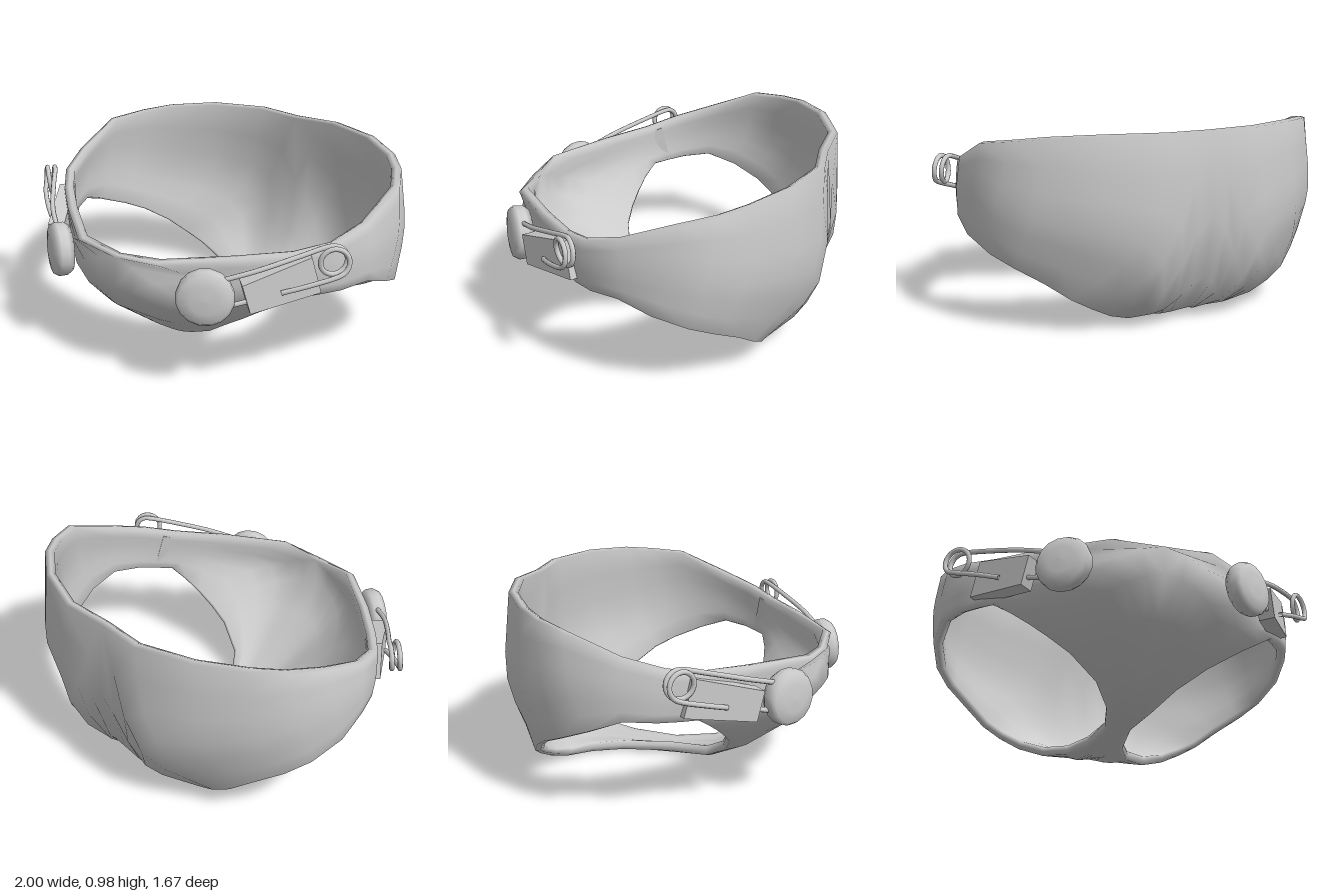
import * as THREE from 'three';
import { mergeVertices } from 'three/addons/utils/BufferGeometryUtils.js';

const material = new THREE.MeshStandardMaterial({ color: 0xcccccc, roughness: 0.8, side: THREE.DoubleSide });
const V = (x, y, z) => new THREE.Vector3(x, y, z);

// Each half of the garment is a ring around its leg hole, made of three loops.
// Outer loop: waist from front centre round to back centre, then the centre seam back to the front.
const OUTER = [
  [0, .66, .83], [.26, .675, .805], [.55, .7, .575], [.75, .715, .39], [.88, .75, .24], [.945, .81, .04], [.955, .915, -.24],
  [.865, .94, -.42], [.755, .96, -.55], [.54, .975, -.705], [.25, .975, -.805], [0, .97, -.79], [0, .57, -.825], [0, .25, -.755],
  [0, .055, -.61], [0, 0, -.42], [0, 0, 0], [0, .02, .24], [0, .125, .455], [0, .32, .7], [0, .5, .84],
];
// Middle loop: the bulge of the cloth
const MIDDLE = [
  [.32, .52, .765], [.5, .56, .615], [.67, .59, .455], [.79, .6, .35], [.9, .62, .22], [.97, .66, .03], [.985, .68, -.2],
  [.93, .64, -.37], [.82, .58, -.525], [.59, .53, -.71], [.37, .47, -.795], [.28, .36, -.815], [.23, .2, -.75], [.17, .075, -.645],
  [.1, .01, -.51], [.05, 0, -.36], [.035, 0, 0], [.06, .02, .235], [.12, .125, .44], [.2, .29, .645], [.26, .42, .745],
];
// Inner loop: the edge of the leg hole
const INNER = [
  [.56, .36, .405], [.66, .42, .39], [.75, .48, .36], [.82, .49, .3], [.9, .5, .2], [.96, .51, .05], [.98, .45, -.12],
  [.935, .38, -.29], [.86, .325, -.4], [.74, .25, -.49], [.63, .17, -.55], [.53, .115, -.57], [.42, .06, -.56], [.29, .015, -.51],
  [.17, .005, -.42], [.1, .01, -.26], [.07, .02, 0], [.12, .04, .22], [.21, .12, .35], [.36, .23, .41], [.47, .3, .415],
];
const N = OUTER.length, ROWS = 6, WAIST = 11, THICK = 0.05;

// Quads between neighbouring sections
function addQuad(index, a, b, c, d, flip) {
  if (flip) index.push(a, c, b, a, d, c);
  else index.push(a, b, c, a, c, d);
}

// Line from the outer loop to the leg hole; on the centre seam it leaves square to the mirror plane
function sheetRow(j) {
  const [o, m, n] = [OUTER, MIDDLE, INNER].map(loop => V(...loop[j]));
  if (j > 0 && j <= WAIST) return new THREE.CatmullRomCurve3([o, m, n]).getPoints(ROWS);
  const curve = new THREE.CatmullRomCurve3([V(-m.x, m.y, m.z), o, m, n]);
  const row = Array.from({ length: ROWS + 1 }, (_, i) => curve.getPoint((1 + 2 * i / ROWS) / 3));
  row[0].copy(o);
  return row;
}

function garmentGeometry() {
  // Outside of one half
  const sheet = OUTER.map((_, j) => sheetRow(j));
  const outside = new THREE.BufferGeometry().setFromPoints(sheet.flat());
  const faces = [], W = ROWS + 1;
  for (let j = 0; j < N; j++) {
    const k = (j + 1) % N;
    for (let i = 0; i < ROWS; i++) addQuad(faces, j * W + i, j * W + i + 1, k * W + i + 1, k * W + i, false);
  }
  outside.setIndex(faces);
  outside.computeVertexNormals();
  const normals = outside.attributes.normal;

  // Closed section at every station: outside, leg hem, lining, waist hem
  const hem = (edge, lining, before) =>
    edge.clone().add(lining).multiplyScalar(.5).addScaledVector(edge.clone().sub(before).normalize(), .01);
  const sections = sheet.map((row, j) => {
    const lining = row.map((p, i) => {
      const n = V().fromBufferAttribute(normals, j * W + i);
      if (i === 0 && p.x === 0) n.setX(0).normalize();
      return p.clone().addScaledVector(n, -THICK);
    });
    const waistHem = hem(row[0], lining[0], row[1]);
    if (row[0].x === 0) waistHem.x = 0;
    return [...row, hem(row[ROWS], lining[ROWS], row[ROWS - 1]), ...lining.reverse(), waistHem];
  });

  // Both halves, welded along the centre seam
  const K = sections[0].length, points = [], index = [];
  for (const side of [1, -1]) {
    const base = points.length;
    for (const s of sections) for (const p of s) points.push(V(p.x * side, p.y, p.z));
    for (let j = 0; j < N; j++) {
      const k = (j + 1) % N;
      for (let i = 0; i < K; i++) {
        if (i >= K - 2 && j >= WAIST) continue; // no hem on the centre seam
        const n = (i + 1) % K;
        addQuad(index, base + j * K + i, base + j * K + n, base + k * K + n, base + k * K + i, side < 0);
      }
    }
  }
  const g = new THREE.BufferGeometry().setFromPoints(points);
  g.setIndex(index);
  const welded = mergeVertices(g, 1e-4);
  welded.computeVertexNormals();
  return welded;
}

function mesh(name, geometry, parent) {
  const m = new THREE.Mesh(geometry, material);
  m.name = name;
  parent.add(m);
  return m;
}

function tube(points, segments) {
  return new THREE.TubeGeometry(new THREE.CatmullRomCurve3(points), segments, .013, 8);
}

// Plate that flares and thins towards the hip, sinking into the waistband
function plateGeometry() {
  const g = new THREE.BoxGeometry(.36, .155, .085);
  const p = g.attributes.position;
  for (let i = 0; i < p.count; i++) {
    if (p.getX(i) < 0) continue;
    if (p.getY(i) < 0) p.setY(i, p.getY(i) - .04);
    p.setZ(i, p.getZ(i) - .065);
  }
  g.computeVertexNormals();
  return g;
}

// Button and coiled safety pin for one side
function createFastener() {
  const fastener = new THREE.Group();

  // Domed button, facing outwards
  const profile = [[0, -.06], [.12, -.06], [.14, -.03], [.142, .01], [.125, .035], [.07, .045], [0, .048]];
  const button = mesh('button', new THREE.LatheGeometry(profile.map(p => new THREE.Vector2(...p)), 16), fastener);
  button.position.set(.475, .545, .735);
  button.quaternion.setFromUnitVectors(V(0, 1, 0), V(.55, .04, .83).normalize());

  // Pin lies along the waistband, rising towards the hip
  const pin = new THREE.Group();
  pin.name = 'safetyPin';
  pin.position.set(.73, .58, .46);
  pin.rotation.set(0, .806, .26, 'YXZ');
  fastener.add(pin);

  mesh('pinPlate', plateGeometry(), pin).position.set(-.01, .01, .015);

  // Wire runs from the button to the coil, winds round and returns to the plate
  const path = [V(-.27, .125, .01), V(-.1, .128, .03), V(.1, .13, .025)];
  for (let i = 0; i <= 18; i++) {
    const a = Math.PI / 2 - i / 18 * Math.PI * 3;
    path.push(V(.26 + .068 * Math.cos(a), .06 + .068 * Math.sin(a), .015 + .06 * i / 18));
  }
  path.push(V(.1, -.015, .06), V(-.02, -.02, .035));
  mesh('pinWire', tube(path, 110), pin);
  mesh('lowerWire', tube([V(-.32, -.01, .01), V(-.2, -.015, .02), V(-.1, -.015, .02)], 8), pin);
  return fastener;
}

export function createModel() {
  const model = new THREE.Group();
  model.name = 'clothBriefs';
  mesh('garment', garmentGeometry(), model);

  const left = createFastener();
  left.name = 'leftFastener';
  const right = createFastener();
  right.name = 'rightFastener';
  right.scale.x = -1;
  model.add(left, right);
  return model;
}
